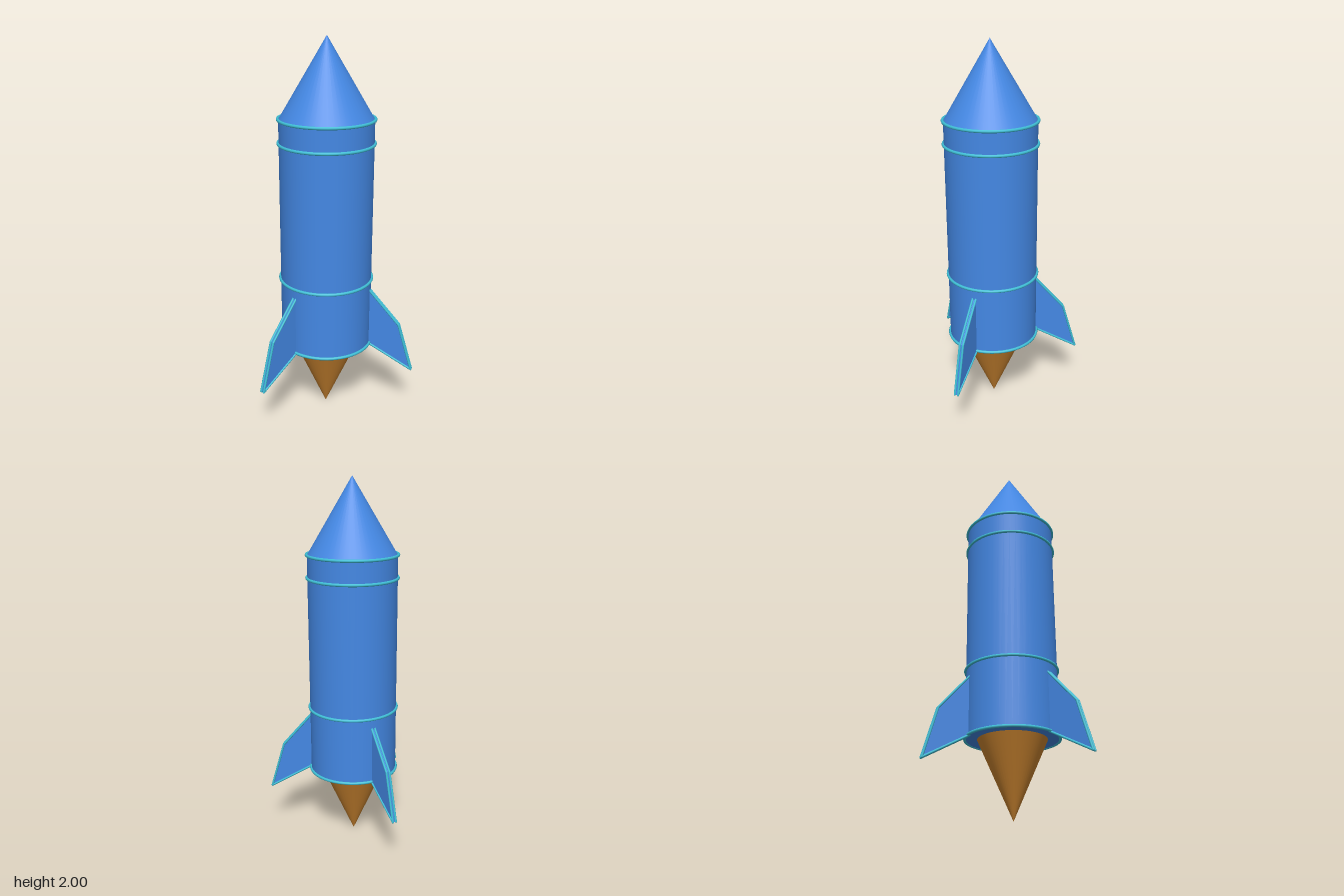
import * as THREE from 'three';
import { mergeGeometries } from 'three/addons/utils/BufferGeometryUtils.js';

const material = (name, color) => {
  const m = new THREE.MeshStandardMaterial({ color });
  m.name = name;
  return m;
};

const RADIUS = 0.238;
const TRIM = 0.006; // radius of the fin edging
const HALF = 0.009; // half thickness of a fin plate

// Fin outline: distance from the axis, height
const FIN = [[0.23, 0.715], [0.395, 0.525], [0.469, 0.27], [0.23, 0.403]];

function finPlateGeometry() {
  const shape = new THREE.Shape(FIN.map(([r, y]) => new THREE.Vector2(r, y)));
  return new THREE.ExtrudeGeometry(shape, { depth: HALF * 2, bevelEnabled: false })
    .translate(0, 0, -HALF);
}

// A rod along every edge of both plate faces, with rounded corners
function finTrimGeometry() {
  const parts = [];
  const up = new THREE.Vector3(0, 1, 0);
  for (const z of [-HALF, HALF]) {
    FIN.forEach(([r, y], i) => {
      const a = new THREE.Vector3(r, y, z);
      const b = new THREE.Vector3(...FIN[(i + 1) % FIN.length], z);
      const dir = b.clone().sub(a);
      const rod = new THREE.CylinderGeometry(TRIM, TRIM, dir.length(), 8, 1, true);
      rod.applyQuaternion(new THREE.Quaternion().setFromUnitVectors(up, dir.clone().normalize()));
      const mid = a.clone().add(b).multiplyScalar(0.5);
      parts.push(rod.translate(mid.x, mid.y, mid.z));
      parts.push(new THREE.SphereGeometry(TRIM, 8, 6).translate(a.x, a.y, a.z));
    });
  }
  return mergeGeometries(parts);
}

export function createModel() {
  const blue = material('hull blue', 0x4488e4);
  const cyan = material('trim cyan', 0x3fbfd6);
  const orange = material('flame orange', 0xcc8530);

  const model = new THREE.Group();
  model.name = 'rocket';
  const rocket = new THREE.Group();
  rocket.name = 'rocketBody';
  rocket.position.z = 0.11;
  model.add(rocket);

  const add = (parent, name, geometry, mat, y = 0) => {
    const mesh = new THREE.Mesh(geometry, mat);
    mesh.name = name;
    mesh.position.y = y;
    parent.add(mesh);
    return mesh;
  };

  // Hull, nose and exhaust flame
  add(rocket, 'hull', new THREE.CylinderGeometry(RADIUS, RADIUS, 1.2, 48), blue, 1.0);
  add(rocket, 'noseCone', new THREE.ConeGeometry(RADIUS, 0.4, 48), blue, 1.8);
  add(rocket, 'flame', new THREE.ConeGeometry(0.178, 0.4, 48).rotateX(Math.PI), orange, 0.2);

  // Bands around the hull
  for (const y of [0.403, 0.765, 1.483, 1.603]) {
    const band = new THREE.TorusGeometry(RADIUS + 0.003, 0.008, 8, 48).rotateX(Math.PI / 2);
    add(rocket, 'band', band, cyan, y);
  }

  // Three fins, one of them straight back
  const plate = finPlateGeometry();
  const trim = finTrimGeometry();
  for (const degrees of [90, 210, 330]) {
    const fin = new THREE.Group();
    fin.name = 'fin';
    fin.rotation.y = THREE.MathUtils.degToRad(degrees);
    add(fin, 'finPlate', plate, blue);
    add(fin, 'finTrim', trim, cyan);
    rocket.add(fin);
  }

  return model;
}
